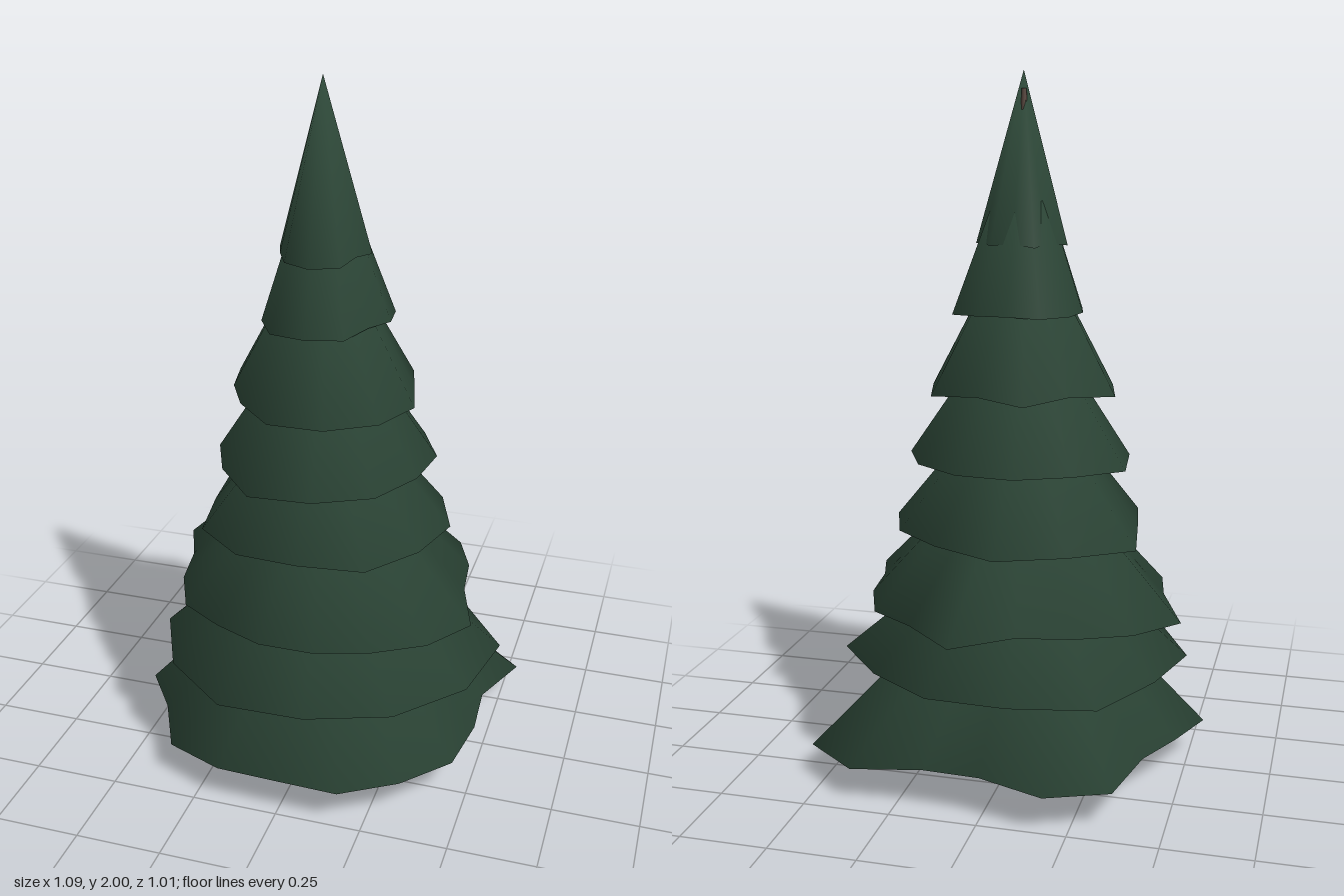
import * as THREE from 'three';

const needleGreen = new THREE.MeshStandardMaterial({ color: 0x2f4a3a });
needleGreen.name = 'needle green';
const barkBrown = new THREE.MeshStandardMaterial({ color: 0x59473f });
barkBrown.name = 'bark brown';

// Each tier: rim height, tip height, turn in degrees and evenly spaced rim radii,
// counted from the front (+z) round by the left (+x).
const TIERS = [
  { rim: 0.11, tip: 0.67, turn: 0, radii: [0.5, 0.53, 0.525, 0.53, 0.495, 0.485, 0.63, 0.59, 0.48,
    0.465, 0.54, 0.56, 0.475, 0.49, 0.55, 0.5, 0.545, 0.52] },
  { rim: 0.315, tip: 0.76, turn: 9, radii: [0.475, 0.49, 0.51, 0.53, 0.465, 0.46, 0.45, 0.49, 0.46, 0.495, 0.49, 0.5] },
  { rim: 0.515, tip: 0.99, turn: -8, radii: [0.445, 0.45, 0.46, 0.485, 0.5, 0.42, 0.435, 0.465, 0.455,
    0.518, 0.44, 0.46, 0.495, 0.525, 0.425, 0.43, 0.45, 0.435] },
  { rim: 0.72, tip: 1.18, turn: 3, radii: [0.345, 0.375, 0.36, 0.37, 0.365, 0.36, 0.395, 0.385, 0.42, 0.345, 0.375, 0.365] },
  { rim: 0.92, tip: 1.4, turn: 10, radii: [0.34, 0.335, 0.315, 0.32, 0.32, 0.32, 0.32, 0.32, 0.35, 0.315, 0.32, 0.36] },
  { rim: 1.12, tip: 1.62, turn: 15, radii: [0.305, 0.3, 0.285, 0.25, 0.29, 0.245, 0.3, 0.25, 0.3, 0.265, 0.27, 0.305] },
  { rim: 1.335, tip: 1.87, turn: 0, radii: [0.205, 0.205, 0.165, 0.185, 0.2, 0.175, 0.165, 0.185, 0.185, 0.18, 0.185, 0.21] },
  { rim: 1.525, tip: 2, turn: 0, radii: [0.168, 0.16, 0.115, 0.13, 0.11, 0.12, 0.09, 0.135, 0.1, 0.135, 0.13, 0.155] },
];

// Closed smooth skirt: a tip, a rim whose longer points droop, and an underside.
function skirtGeometry({ rim, tip, turn, radii }) {
  const n = radii.length;
  const mean = radii.reduce((sum, r) => sum + r, 0) / n;
  const positions = [-0.005, tip, 0.0075 * tip, 0, rim, 0];
  radii.forEach((r, k) => {
    const a = THREE.MathUtils.degToRad(turn + (k / n) * 360);
    positions.push(r * Math.sin(a), rim - 0.2 * (r - mean), r * Math.cos(a));
  });
  const faces = [];
  for (let k = 0; k < n; k++) {
    const a = 2 + k, b = 2 + ((k + 1) % n);
    faces.push(0, a, b, 1, b, a);
  }
  const geometry = new THREE.BufferGeometry();
  geometry.setAttribute('position', new THREE.Float32BufferAttribute(positions, 3));
  geometry.setIndex(faces);
  geometry.computeVertexNormals();
  return geometry;
}

export function createModel() {
  const tree = new THREE.Group();
  tree.name = 'pineTree';

  // Tapering trunk, its thin end just showing behind the top of the tree
  const trunk = new THREE.Mesh(new THREE.CylinderGeometry(0.007, 0.066, 1.95, 10), barkBrown);
  trunk.name = 'trunk';
  trunk.position.set(-0.01, 0.975, 0.004);
  trunk.rotation.x = -0.007;
  tree.add(trunk);

  // Branch tiers from the ground up
  const branches = new THREE.Group();
  branches.name = 'branches';
  TIERS.forEach((tier, i) => {
    const skirt = new THREE.Mesh(skirtGeometry(tier), needleGreen);
    skirt.name = `branchTier${i + 1}`;
    branches.add(skirt);
  });
  tree.add(branches);

  return tree;
}
